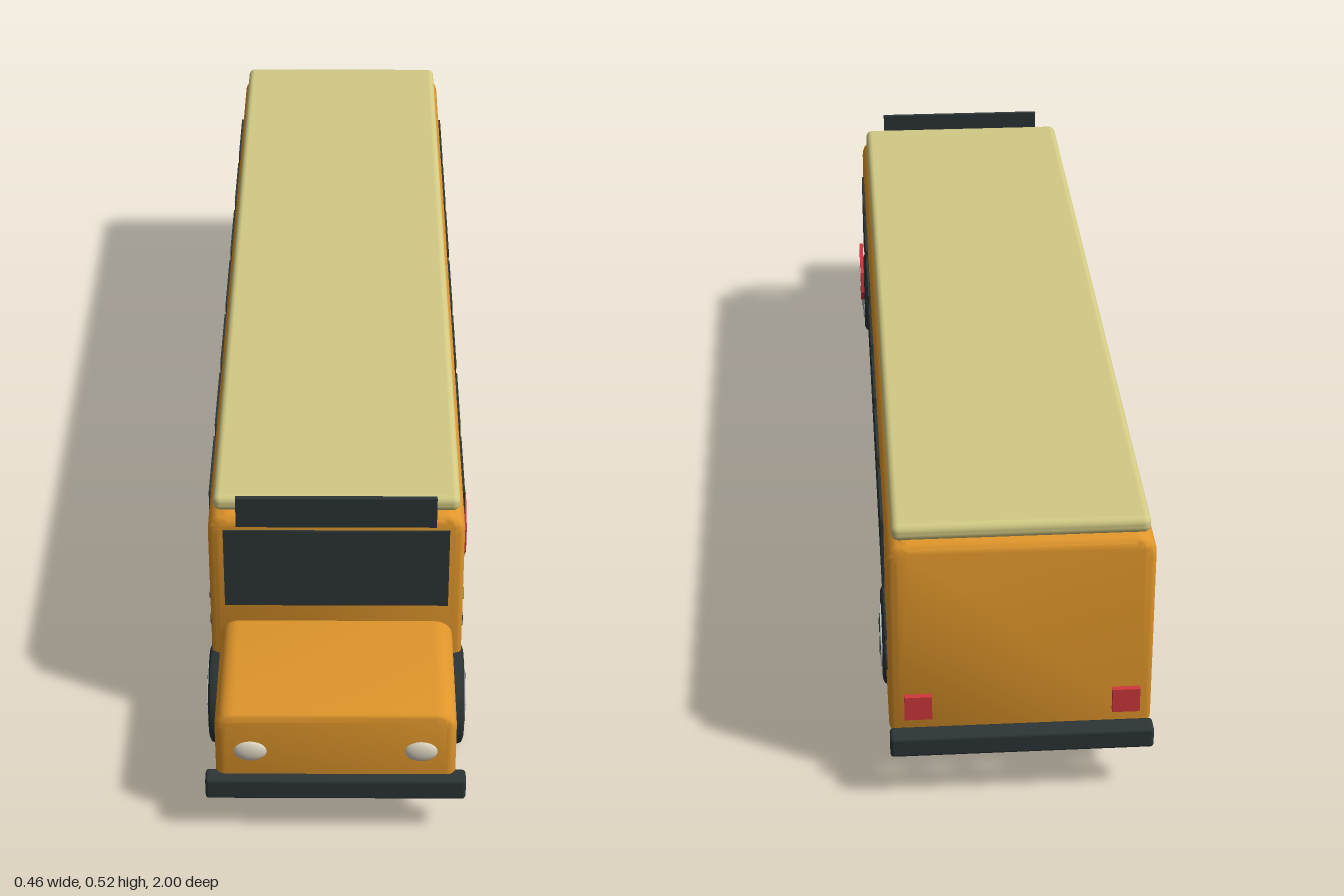
import * as THREE from 'three';
import { toCreasedNormals } from 'three/addons/utils/BufferGeometryUtils.js';
import { RoundedBoxGeometry } from 'three/addons/geometries/RoundedBoxGeometry.js';

const paint = (name, color) => {
  const m = new THREE.MeshStandardMaterial({ color });
  m.name = name;
  return m;
};

export function createModel() {
  const yellow = paint('body yellow', 0xe0962b);
  const cream = paint('roof cream', 0xd2ca84);
  const dark = paint('dark trim', 0x2c3536);
  const glass = paint('window glass', 0x2d3636);
  const rubber = paint('tyre rubber', 0x2b3334);
  const silver = paint('wheel silver', 0xbfc4c4);
  const red = paint('signal red', 0xcf383c);
  const white = paint('sign white', 0xe4dfda);
  const lamp = paint('headlight white', 0xdcd4c0);

  const bus = new THREE.Group();
  bus.name = 'bus';
  bus.position.x = -0.005;

  const add = (name, geometry, material, x = 0, y = 0, z = 0, parent = bus) => {
    const mesh = new THREE.Mesh(geometry, material);
    mesh.name = name;
    mesh.position.set(x, y, z);
    parent.add(mesh);
    return mesh;
  };
  const box = (w, h, d) => new THREE.BoxGeometry(w, h, d);

  // Shell with rounded top, tighter bottom corners and bevelled ends
  const shell = (w, y0, y1, z0, z1, top, bottom, bevel) => {
    const x = w / 2 - bevel, a = y0 + bevel, b = y1 - bevel;
    const s = new THREE.Shape();
    s.moveTo(-x + bottom, a);
    s.lineTo(x - bottom, a);
    s.quadraticCurveTo(x, a, x, a + bottom);
    s.lineTo(x, b - top);
    s.quadraticCurveTo(x, b, x - top, b);
    s.lineTo(-x + top, b);
    s.quadraticCurveTo(-x, b, -x, b - top);
    s.lineTo(-x, a + bottom);
    s.quadraticCurveTo(-x, a, -x + bottom, a);
    const g = new THREE.ExtrudeGeometry(s, {
      depth: z1 - z0 - 2 * bevel, curveSegments: 6,
      bevelEnabled: true, bevelSize: bevel, bevelThickness: bevel, bevelSegments: 4,
    });
    g.translate(0, 0, z0 + bevel);
    return toCreasedNormals(g, 0.6);
  };

  // Bodywork
  add('cabin', shell(0.434, 0.1, 0.47, -0.958, 0.739, 0.02, 0.004, 0.016), yellow);
  add('hood', shell(0.4, 0.095, 0.249, 0.69, 0.983, 0.018, 0.003, 0.016), yellow);
  add('roof', new RoundedBoxGeometry(0.416, 0.03, 1.662, 3, 0.0125), cream, 0, 0.4815, -0.11);

  // Windscreen and destination board
  add('windscreen', box(0.382, 0.158, 0.008), glass, 0, 0.364, 0.738);
  add('destinationBoard', box(0.336, 0.058, 0.009), dark, 0, 0.488, 0.748);

  // Bumpers
  add('frontBumper', new RoundedBoxGeometry(0.434, 0.042, 0.032, 2, 0.006), dark, 0, 0.099, 0.984);
  add('rearBumper', new RoundedBoxGeometry(0.434, 0.038, 0.035, 2, 0.006), dark, 0, 0.108, -0.9825);

  // One wheel with its axle along x, outside facing +x
  const tyreProfile = [[0.05, -0.0295], [0.078, -0.0295], [0.086, -0.026], [0.089, -0.018],
    [0.089, 0.018], [0.086, 0.026], [0.078, 0.0295], [0.05, 0.0295]]
    .map(([r, y]) => new THREE.Vector2(r, y));
  const tyreGeometry = toCreasedNormals(new THREE.LatheGeometry(tyreProfile, 40).rotateZ(-Math.PI / 2), 0.7);
  const rimGeometry = new THREE.CylinderGeometry(0.056, 0.056, 0.064, 32).rotateZ(-Math.PI / 2);
  const makeWheel = () => {
    const wheel = new THREE.Group();
    add('tyre', tyreGeometry, rubber, 0, 0, 0, wheel);
    add('rim', rimGeometry, silver, 0, 0, 0, wheel);
    for (let i = 0; i < 4; i++) {
      const a = i * Math.PI / 2;
      const slot = add('rimSlot', box(0.003, 0.024, 0.014), rubber,
        0.032, Math.cos(a) * 0.028, Math.sin(a) * 0.028, wheel);
      slot.rotation.x = a;
    }
    return wheel;
  };

  for (const side of [-1, 1]) {
    const label = side > 0 ? 'left' : 'right';

    // Side windows
    for (let i = 0; i < 7; i++) {
      add(`${label}Window${i + 1}`, box(0.008, 0.132, 0.172), glass, side * 0.2175, 0.364, 0.527 - i * 0.2088);
    }

    // Side stripes
    add(`${label}UpperStripe`, box(0.006, 0.011, 1.63), dark, side * 0.2165, 0.276, -0.11);
    add(`${label}LowerStripe`, box(0.006, 0.018, 1.63), dark, side * 0.2165, 0.222, -0.11);

    // Wheels
    for (const [end, z] of [['Front', 0.74], ['Rear', -0.641]]) {
      const wheel = makeWheel();
      wheel.name = `${label}${end}Wheel`;
      wheel.position.set(side * 0.192, 0.089, z);
      if (side < 0) wheel.rotation.y = Math.PI;
      bus.add(wheel);
    }

    // Lights
    const headlight = add(`${label}Headlight`, new THREE.SphereGeometry(1, 24, 16), lamp, side * 0.1415, 0.17, 0.981);
    headlight.scale.set(0.028, 0.021, 0.01);
    add(`${label}TailLight`, box(0.045, 0.044, 0.01), red, side * 0.17, 0.179, -0.985);
  }

  // Octagonal stop paddle on the left side
  const paddle = new THREE.Group();
  paddle.name = 'stopPaddle';
  paddle.position.set(0.228, 0.267, 0.477);
  bus.add(paddle);
  const octagon = new THREE.CylinderGeometry(0.0606, 0.0606, 0.007, 8).toNonIndexed();
  octagon.rotateY(Math.PI / 8).rotateZ(-Math.PI / 2);
  octagon.computeVertexNormals();
  add('paddlePlate', octagon, red, 0, 0, 0, paddle);
  add('paddleBar', box(0.003, 0.03, 0.08), white, 0.003, 0, 0, paddle);

  return bus;
}
